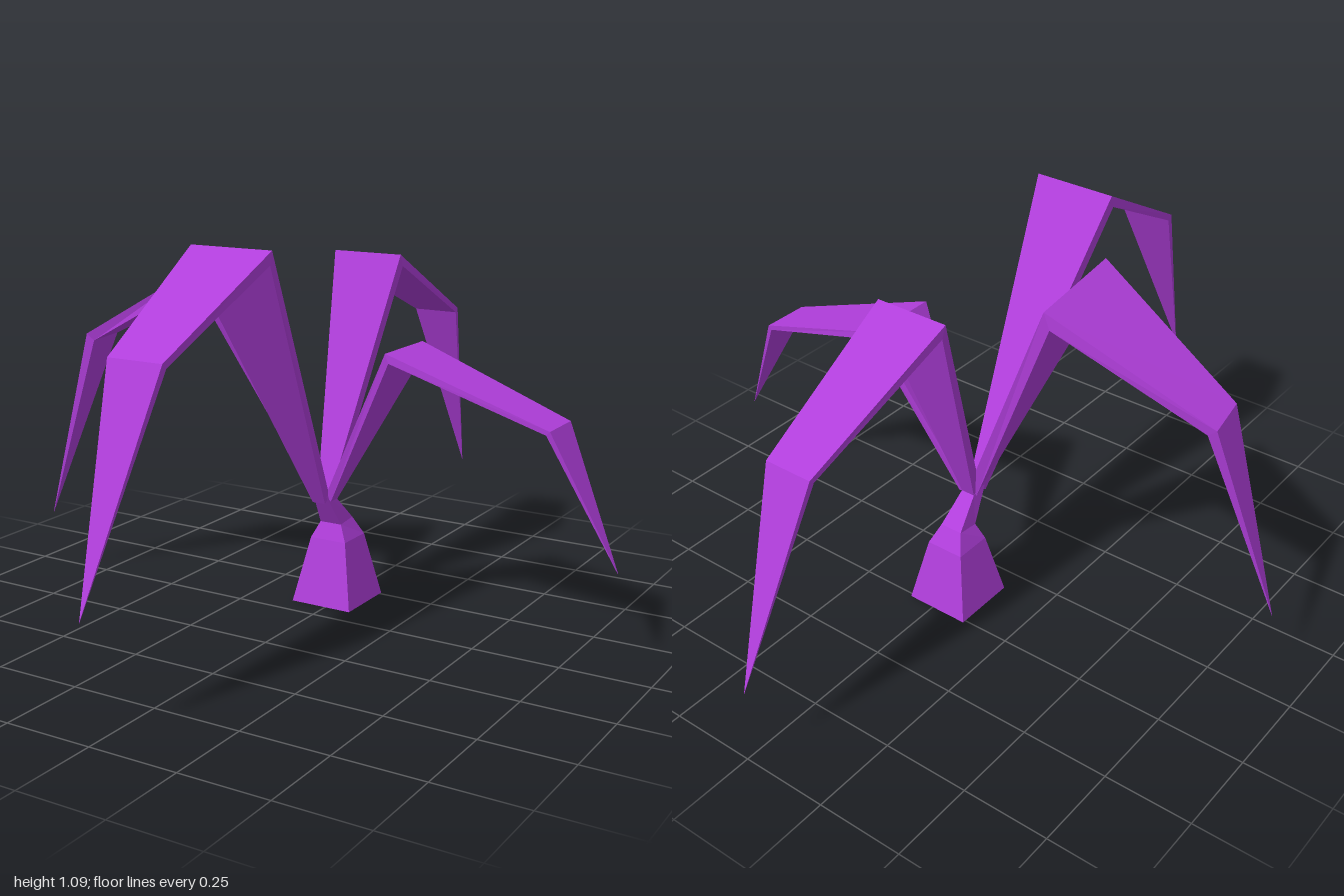
import * as THREE from 'three';

const purple = new THREE.MeshStandardMaterial({ color: 0xb03edb });
purple.name = 'purple';

// Flat-faced skin over a list of four-cornered rings, closed at both ends
function loft(name, rings) {
  const pos = [];
  const quad = (a, b, c, d) => [a, b, c, a, c, d].forEach(p => pos.push(p.x, p.y, p.z));
  for (let i = 0; i < rings.length - 1; i++) {
    const r = rings[i], s = rings[i + 1];
    for (let j = 0; j < 4; j++) {
      const k = (j + 1) % 4;
      quad(r[j], s[j], s[k], r[k]);
    }
  }
  quad(...rings[0]);
  quad(...[...rings[rings.length - 1]].reverse());
  const geo = new THREE.BufferGeometry();
  geo.setAttribute('position', new THREE.Float32BufferAttribute(pos, 3));
  geo.computeVertexNormals();
  const mesh = new THREE.Mesh(geo, purple);
  mesh.name = name;
  return mesh;
}

// Bent blade: each section is [upper corner a, upper corner b, thickness]
function leaf(name, sections) {
  const secs = sections.map(([a, b, t]) => ({
    a: new THREE.Vector3(...a), b: new THREE.Vector3(...b), t,
  }));
  const mid = secs.map(s => s.a.clone().add(s.b).multiplyScalar(0.5));
  const dir = (i, j) => mid[j].clone().sub(mid[i]).normalize();
  const last = secs.length - 1;
  // the tip has no width, so it uses the widthwise direction of the section before it
  const rings = secs.map((s, i) => {
    const along = new THREE.Vector3();
    if (i > 0) along.add(dir(i - 1, i));
    if (i < last) along.add(dir(i, i + 1));
    const ref = secs[Math.min(i, last - 1)];
    const across = ref.b.clone().sub(ref.a);
    const inward = along.cross(across).normalize().multiplyScalar(-s.t);
    return [s.a, s.b, s.b.clone().add(inward), s.a.clone().add(inward)];
  });
  return loft(name, rings);
}

// Rectangular ring with separate heights for its back and front edges
function ring(half, zBack, zFront, yBack, yFront = yBack) {
  const x = -0.015;
  return [
    new THREE.Vector3(x - half, yBack, zBack), new THREE.Vector3(x + half, yBack, zBack),
    new THREE.Vector3(x + half, yFront, zFront), new THREE.Vector3(x - half, yFront, zFront),
  ];
}

export function createModel() {
  const model = new THREE.Group();
  model.name = 'plant';

  // Flared foot with a thin neck leaning forward
  model.add(loft('footAndNeck', [
    ring(0.095, -0.26, -0.067, 0),
    ring(0.057, -0.22, -0.108, 0.19),
    ring(0.034, -0.19, -0.124, 0.245, 0.238),
    ring(0.021, -0.112, -0.06, 0.325, 0.34),
  ]));

  // Four drooping leaves: root, knee, second bend, tip
  model.add(leaf('frontLeaf', [
    [[-0.035, 0.33, -0.083], [0.005, 0.33, -0.083], 0.03],
    [[-0.137, 1.087, 0.37], [0.107, 1.087, 0.37], 0.037],
    [[-0.095, 0.868, 0.77], [0.065, 0.868, 0.77], 0.02],
    [[-0.015, 0.3, 1], [-0.015, 0.3, 1], 0.001],
  ]));
  model.add(leaf('backLeaf', [
    [[0.005, 0.33, -0.083], [-0.035, 0.33, -0.083], 0.03],
    [[0.093, 1.0, -0.33], [-0.123, 1.0, -0.33], 0.037],
    [[0.055, 0.78, -0.79], [-0.085, 0.78, -0.79], 0.018],
    [[-0.015, 0.23, -1], [-0.015, 0.23, -1], 0.001],
  ]));
  model.add(leaf('leftLeaf', [
    [[-0.005, 0.33, -0.075], [-0.005, 0.33, -0.112], 0.022],
    [[0.24, 0.787, 0.03], [0.24, 0.787, -0.187], 0.028],
    [[0.7, 0.627, 0.0], [0.7, 0.627, -0.14], 0.015],
    [[0.875, 0.26, -0.065], [0.875, 0.26, -0.065], 0.001],
  ]));
  model.add(leaf('rightLeaf', [
    [[-0.012, 0.33, -0.112], [0.0, 0.33, -0.075], 0.03],
    [[-0.28, 1.005, -0.142], [-0.24, 1.005, 0.193], 0.05],
    [[-0.72, 0.768, 0.02], [-0.695, 0.768, 0.12], 0.03],
    [[-0.878, 0.19, 0.088], [-0.878, 0.19, 0.088], 0.001],
  ].map((s, i) => {
    // second bend is a little wider on its back side
    if (i === 2) s[0][2] = -0.02;
    return s;
  })));

  return model;
}
